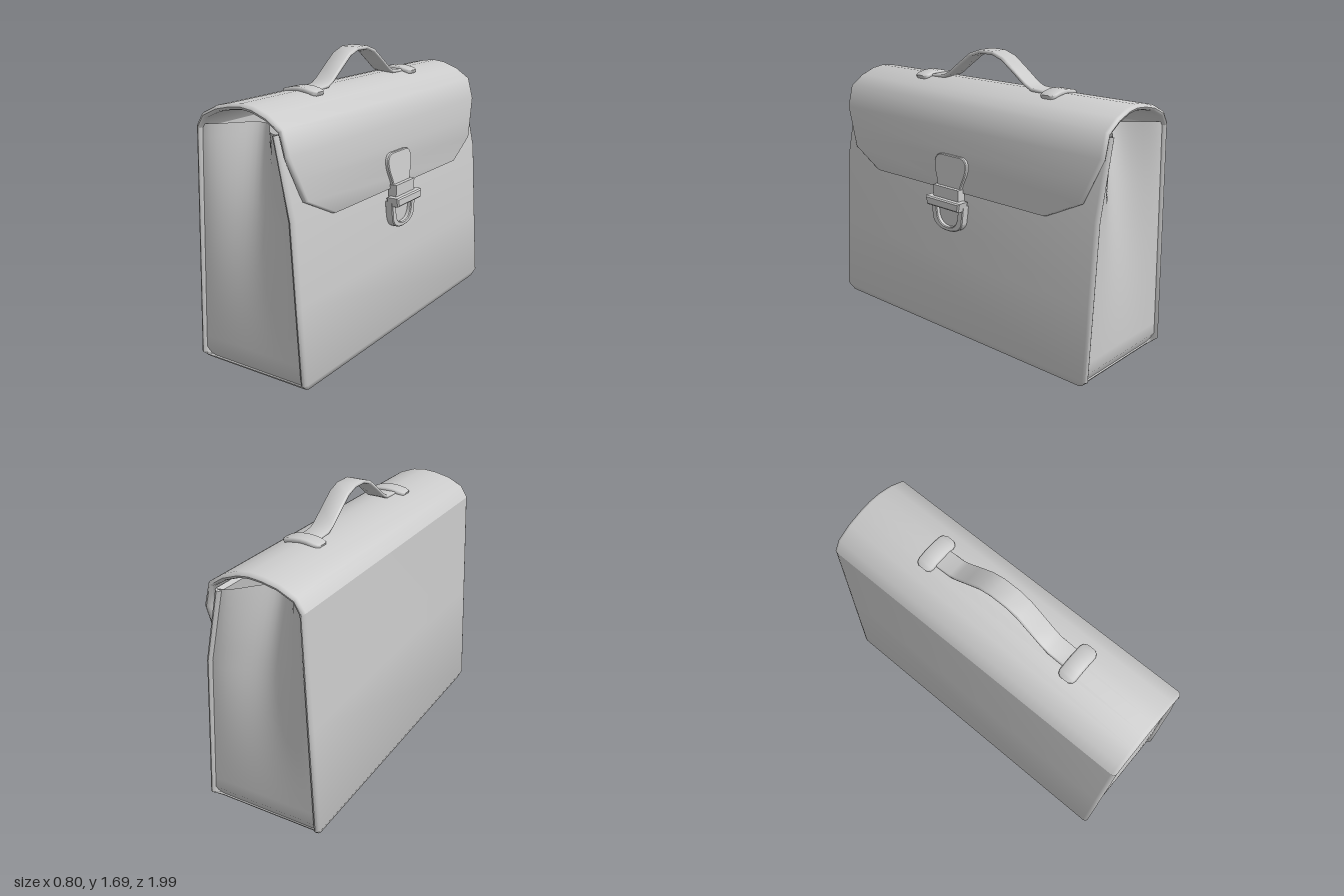
import * as THREE from 'three';
import { toCreasedNormals } from 'three/addons/utils/BufferGeometryUtils.js';

const material = new THREE.MeshStandardMaterial({ color: 0xcccccc });
const thinMaterial = new THREE.MeshStandardMaterial({ color: 0xcccccc, side: THREE.DoubleSide });

function add(parent, name, geometry, x = 0, y = 0, z = 0, mat = material) {
  const mesh = new THREE.Mesh(geometry, mat);
  mesh.name = name;
  mesh.position.set(x, y, z);
  parent.add(mesh);
  return mesh;
}

// Thick sheet with rounded side edges, swept along [x, y, halfWidth] points.
// The path runs clockwise and the thickness goes to its right.
function sheet(path, t, r) {
  const pos = [], idx = [], n = 10;
  path.forEach(([x, y, h], i) => {
    const a = path[Math.max(i - 1, 0)], b = path[Math.min(i + 1, path.length - 1)];
    const len = Math.hypot(b[0] - a[0], b[1] - a[1]);
    const nx = (b[1] - a[1]) / len, ny = -(b[0] - a[0]) / len;
    const half = [[r, 0], [0.3 * r, 0.15 * t], [0, 0.5 * t], [0.3 * r, 0.85 * t], [r, t]];
    const loop = half.map(([e, d]) => [h - e, d]);
    loop.push(...loop.map(([z, d]) => [-z, d]).reverse());
    for (const [z, d] of loop) pos.push(x + nx * d, y + ny * d, z);
    if (i === 0) return;
    for (let j = 0; j < n; j++) {
      const k = (j + 1) % n, p = (i - 1) * n, q = i * n;
      idx.push(p + j, p + k, q + j, p + k, q + k, q + j);
    }
  });
  const last = (path.length - 1) * n;
  for (let j = 1; j < n - 1; j++) {
    idx.push(0, j + 1, j, last, last + j, last + j + 1);
  }
  const g = new THREE.BufferGeometry();
  g.setAttribute('position', new THREE.Float32BufferAttribute(pos, 3));
  g.setIndex(idx);
  return toCreasedNormals(g, 0.9);
}

// Side wall between front and back, folding inward toward its open top.
function gussetGeometry() {
  const g = new THREE.PlaneGeometry(2, 1, 20, 20);
  const p = g.attributes.position;
  for (let i = 0; i < p.count; i++) {
    const u = p.getX(i), v = p.getY(i) + 0.5;
    const y = 0.045 + v * 1.325;
    const left = -0.34 + 0.05 * v - 0.0;
    const right = y < 0.95 ? 0.345 - 0.055 * y / 0.95 : 0.29 - 0.085 * (y - 0.95) / 0.42;
    const bottomTuck = 0.04 * Math.max(0, 1 - (y - 0.045) / 0.06);
    const fold = 0.2 * v * v * Math.cos(u * Math.PI / 2) ** 2;
    p.setXYZ(i, left + (right - left) * (u + 1) / 2, y, 0.968 - bottomTuck - fold);
  }
  g.computeVertexNormals();
  return g;
}

function extrude(shape, depth, bevel = 0.005) {
  return new THREE.ExtrudeGeometry(shape, {
    depth: depth - 2 * bevel, bevelThickness: bevel, bevelSize: bevel, bevelOffset: -bevel,
    bevelSegments: 1, curveSegments: 8,
  }).translate(0, 0, bevel);
}

// Shield outline: flat top, sides tapering into a round bottom.
function shield(top, bottom, w, Path = THREE.Shape) {
  const s = new Path();
  s.moveTo(-w, top);
  s.lineTo(-w * 0.9, bottom + 0.06);
  s.quadraticCurveTo(-w * 0.75, bottom, 0, bottom);
  s.quadraticCurveTo(w * 0.75, bottom, w * 0.9, bottom + 0.06);
  s.lineTo(w, top);
  s.closePath();
  return s;
}

function createClasp() {
  const clasp = new THREE.Group();
  clasp.name = 'clasp';

  // Upper plate lying on the flap
  const plate = new THREE.Shape();
  plate.moveTo(-0.09, 0);
  plate.lineTo(0.09, 0);
  plate.bezierCurveTo(0.1, 0.06, 0.125, 0.08, 0.125, 0.13);
  plate.quadraticCurveTo(0.125, 0.19, 0.065, 0.19);
  plate.lineTo(-0.065, 0.19);
  plate.quadraticCurveTo(-0.125, 0.19, -0.125, 0.13);
  plate.bezierCurveTo(-0.125, 0.08, -0.1, 0.06, -0.09, 0);
  add(clasp, 'claspPlate', extrude(plate, 0.035), 0, 0.93, 0.31).rotation.x = -0.11;

  // Tongue and cross bar
  add(clasp, 'claspTongue', new THREE.BoxGeometry(0.2, 0.13, 0.05), 0, 0.878, 0.342);
  const bar = new THREE.Shape();
  bar.moveTo(-0.125, 0.825);
  bar.lineTo(0.125, 0.825);
  bar.lineTo(0.135, 0.877);
  bar.lineTo(-0.135, 0.877);
  bar.closePath();
  add(clasp, 'claspBar', extrude(bar, 0.08, 0.008), 0, 0, 0.32);

  // Lower frame with its backing plate
  const frame = shield(0.85, 0.68, 0.13);
  frame.holes.push(shield(0.825, 0.705, 0.088, THREE.Path));
  add(clasp, 'claspFrame', extrude(frame, 0.05), 0, 0, 0.31);
  add(clasp, 'claspBacking', extrude(shield(0.84, 0.69, 0.11), 0.03), 0, 0, 0.305);

  clasp.rotation.y = Math.PI / 2;
  clasp.position.z = 0.024;
  return clasp;
}

export function createModel() {
  const model = new THREE.Group();
  model.name = 'briefcase';
  const bag = new THREE.Group();
  bag.name = 'bag';
  bag.rotation.y = -0.035;
  model.add(bag);

  // Front, bottom and back in one bent sheet
  const L = 0.985;
  add(bag, 'body', sheet([
    [0.215, 1.37, L], [0.305, 0.95, L], [0.333, 0.5, L], [0.36, 0.08, L], [0.345, 0.042, 0.955],
    [0.305, 0.025, 0.935], [-0.305, 0.025, 0.935], [-0.345, 0.042, 0.955], [-0.36, 0.08, L],
    [-0.335, 0.72, L], [-0.31, 1.36, L],
  ], 0.035, 0.025));

  // Flap over the top and down the front
  add(bag, 'flap', sheet([
    [-0.31, 1.36, L], [-0.265, 1.43, L], [-0.17, 1.475, L], [-0.08, 1.495, L], [0, 1.502, L],
    [0.07, 1.493, L], [0.16, 1.46, L], [0.25, 1.4, L], [0.285, 1.27, L],
    [0.3, 1.15, 0.935], [0.314, 1.03, 0.885], [0.328, 0.92, 0.665],
  ], 0.035, 0.02));

  // End walls
  for (const side of [1, -1]) {
    const g = gussetGeometry();
    const gusset = add(bag, 'gusset', g, 0, 0, 0, thinMaterial);
    gusset.scale.z = side;
  }

  // Handle strap
  const rise = [[0.47, 1.505], [0.34, 1.515], [0.3, 1.535], [0.22, 1.595], [0.13, 1.66], [0.05, 1.687]];
  const strap = [
    ...rise.map(([z, y]) => [-z, y, 0.06]),
    ...rise.map(([z, y]) => [z, y, 0.06]).reverse(),
  ];
  add(bag, 'handle', sheet(strap, 0.022, 0.008)).rotation.y = -Math.PI / 2;

  // Handle pads bent over the top
  const pad = [-0.115, -0.105, -0.085, -0.04, 0, 0.04, 0.085, 0.105, 0.115].map((x) => {
    const a = Math.abs(x);
    return [x, 1.523 - 1.7 * x * x, a > 0.11 ? 0.03 : a > 0.1 ? 0.045 : 0.052];
  });
  for (const z of [-0.485, 0.485]) add(bag, 'handlePad', sheet(pad, 0.03, 0.01), 0, 0, z);

  bag.add(createClasp());

  // Feet
  const foot = new THREE.CylinderGeometry(0.04, 0.026, 0.03, 12);
  for (const x of [-0.23, 0.23]) {
    for (const z of [-0.825, 0.825]) add(bag, 'foot', foot, x, 0.015, z);
  }
  return model;
}
